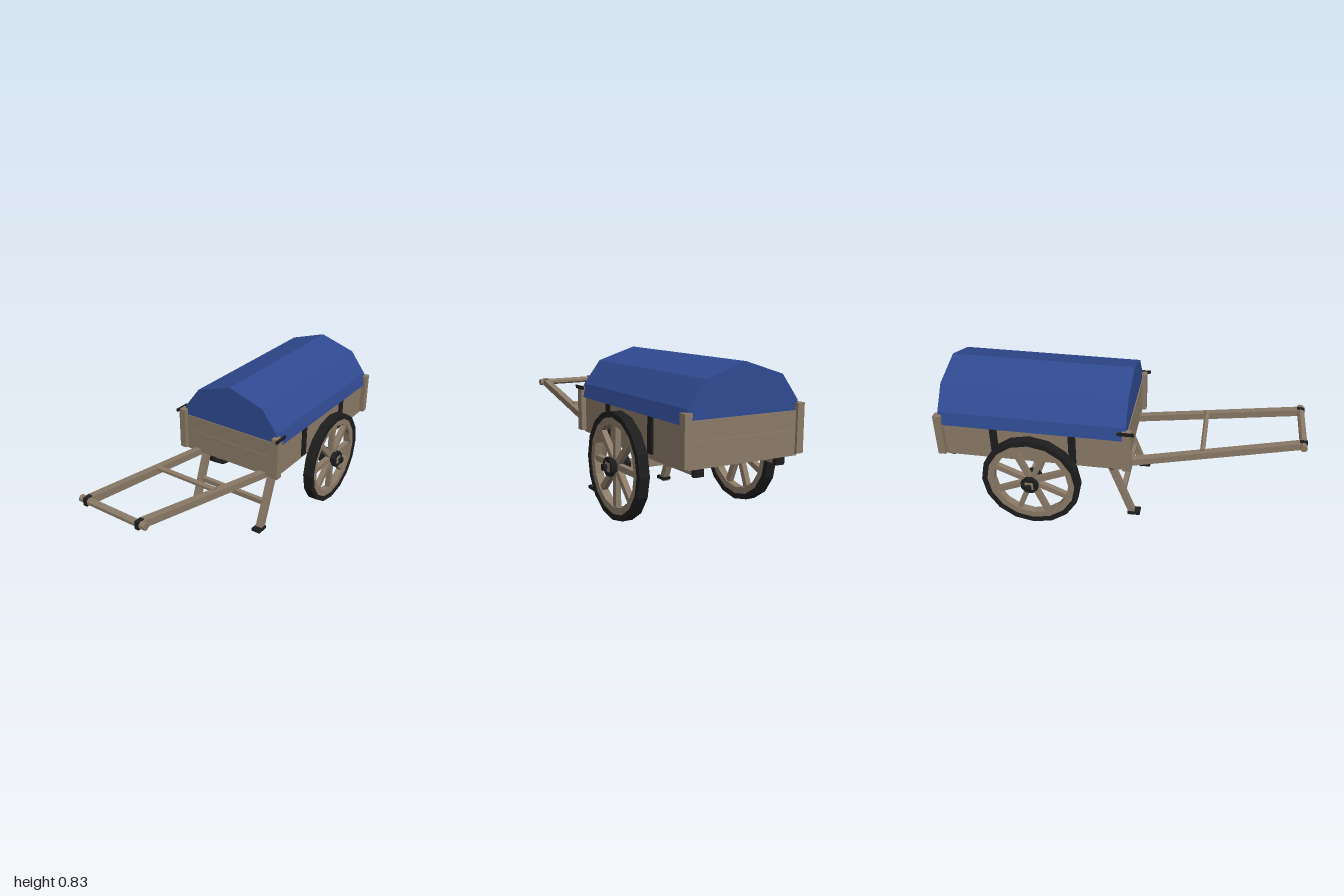
import * as THREE from 'three';

export function createModel() {
  const model = new THREE.Group();
  model.name = 'handcart';
  const material = (name, color) => {
    const m = new THREE.MeshStandardMaterial({ color, flatShading: true });
    m.name = name;
    return m;
  };
  const wood = material('weathered wood', 0x8b7b68);
  const iron = material('black iron', 0x1d1d1d);
  const cloth = material('blue canvas', 0x304a91);

  const add = (name, geometry, mat, parent = model) => {
    const mesh = new THREE.Mesh(geometry, mat);
    mesh.name = name;
    parent.add(mesh);
    return mesh;
  };
  // Box given by its minimum and maximum on each axis
  const box = (name, mat, [x0, x1], [y0, y1], [z0, z1]) => {
    const mesh = add(name, new THREE.BoxGeometry(x1 - x0, y1 - y0, z1 - z0), mat);
    mesh.position.set((x0 + x1) / 2, (y0 + y1) / 2, (z0 + z1) / 2);
    return mesh;
  };
  // Square beam running from one point to another
  const beam = (name, mat, from, to, w, h) => {
    const a = new THREE.Vector3(...from), b = new THREE.Vector3(...to);
    const mesh = add(name, new THREE.BoxGeometry(w, h, a.distanceTo(b)), mat);
    mesh.position.copy(a).add(b).multiplyScalar(0.5);
    mesh.lookAt(b);
    return mesh;
  };
  // Eight-sided bar lying along x
  const bar = (name, mat, r, x0, x1, y, z, parent = model) => {
    const geometry = new THREE.CylinderGeometry(r, r, x1 - x0, 8);
    geometry.rotateY(Math.PI / 8).rotateZ(Math.PI / 2);
    const mesh = add(name, geometry, mat, parent);
    mesh.position.set((x0 + x1) / 2, y, z);
    return mesh;
  };
  const mirrored = (s, a, b) => (s > 0 ? [a, b] : [-b, -a]);

  // Floor and plank walls
  box('floor', wood, [-0.31, 0.31], [0.365, 0.401], [-0.985, 0.057]);
  for (const [y0, y1] of [[0.401, 0.491], [0.493, 0.583]]) {
    box('frontPlank', wood, [-0.299, 0.299], [y0, y1], [0.035, 0.058]);
    box('backPlank', wood, [-0.299, 0.299], [y0, y1], [-0.987, -0.965]);
  }

  // Faceted canvas cover
  const half = [[0.326, 0.562], [0.31, 0.635], [0.215, 0.76]];
  const outline = [...half, [0, 0.828], ...half.map(([x, y]) => [-x, y]).reverse()];
  const cover = new THREE.ExtrudeGeometry(
    new THREE.Shape(outline.map(([x, y]) => new THREE.Vector2(x, y))),
    { depth: 1.031, bevelEnabled: false });
  add('canvasCover', cover, cloth).position.z = -0.978;

  // Cross members and handle
  box('axle', wood, [-0.435, 0.435], [0.262, 0.308], [-0.483, -0.437]);
  bar('handleBar', wood, 0.02, -0.207, 0.207, 0.536, 0.98);
  bar('shaftCrossbar', wood, 0.015, -0.2, 0.2, 0.458, 0.455);
  box('legCrossbar', wood, [-0.22, 0.22], [0.148, 0.176], [0.013, 0.041]);

  for (const s of [1, -1]) {
    // Side walls, corner posts, iron catches and straps
    box('sideWall', wood, mirrored(s, 0.288, 0.31), [0.365, 0.572], [-0.965, 0.04]);
    box('frontPost', wood, mirrored(s, 0.297, 0.337), [0.376, 0.62], [0.036, 0.082]);
    box('backPost', wood, mirrored(s, 0.297, 0.337), [0.376, 0.62], [-1, -0.957]);
    box('postCatch', iron, mirrored(s, 0.334, 0.342), [0.606, 0.624], [0.01, 0.1]);
    for (const z of [-0.24, -0.675])
      box('sideStrap', iron, mirrored(s, 0.308, 0.32), [0.38, 0.57], [z - 0.02, z + 0.02]);

    // Under-rails with iron ends
    box('underRail', wood, mirrored(s, 0.212, 0.253), [0.327, 0.367], [-0.95, -0.03]);
    box('railEndCap', iron, mirrored(s, 0.207, 0.258), [0.321, 0.366], [-0.962, -0.938]);
    box('railFrontBracket', iron, mirrored(s, 0.207, 0.258), [0.32, 0.365], [-0.052, -0.022]);
    box('axleBlock', wood, mirrored(s, 0.212, 0.253), [0.3, 0.33], [-0.483, -0.437]);

    // Pulling shafts, tapering together toward the handle
    beam('shaft', wood, [s * 0.232, 0.347, -0.035], [s * 0.167, 0.535, 0.97], 0.04, 0.038);
    box('handleBand', iron, mirrored(s, 0.154, 0.177), [0.515, 0.557], [0.959, 1]);

    // Raked prop legs with iron feet
    beam('leg', wood, [s * 0.233, 0.34, -0.043], [s * 0.233, 0.007, 0.083], 0.041, 0.034);
    box('foot', iron, mirrored(s, 0.207, 0.26), [0.01, 0.028], [0.055, 0.125]);

    // Wheel
    const wheel = new THREE.Group();
    wheel.name = s > 0 ? 'leftWheel' : 'rightWheel';
    wheel.position.set(s * 0.379, 0.285, -0.46);
    model.add(wheel);
    const ring = (name, mat, outer, inner, width) => {
      const h = width / 2;
      const profile = [[inner, -h], [outer, -h], [outer, h], [inner, h], [inner, -h]];
      const geometry = new THREE.LatheGeometry(profile.map(([r, y]) => new THREE.Vector2(r, y)), 16);
      add(name, geometry.rotateZ(Math.PI / 2), mat, wheel);
    };
    ring('tyre', iron, 0.275, 0.246, 0.055);
    ring('rim', wood, 0.248, 0.21, 0.044);
    for (let i = 0; i < 8; i++) {
      const angle = i * Math.PI / 4 + (s > 0 ? 0 : Math.PI / 8);
      const geometry = new THREE.BoxGeometry(0.03, 0.03, 0.19);
      geometry.translate(0, 0, 0.125).rotateX(angle);
      add('spoke', geometry, wood, wheel);
    }
    // Hub flanges and axle tip
    bar('hub', iron, 0.036, -0.045, 0.045, 0, 0, wheel);
    for (const side of [-1, 1])
      bar('hubFlange', iron, 0.05, side * 0.043 - 0.011, side * 0.043 + 0.011, 0, 0, wheel);
    bar('axlePin', iron, 0.006, ...mirrored(s, 0.43, 0.45), 0.285, -0.46);
    box('axleTip', iron, mirrored(s, 0.442, 0.459), [0.27, 0.3], [-0.475, -0.445]);
  }
  return model;
}
